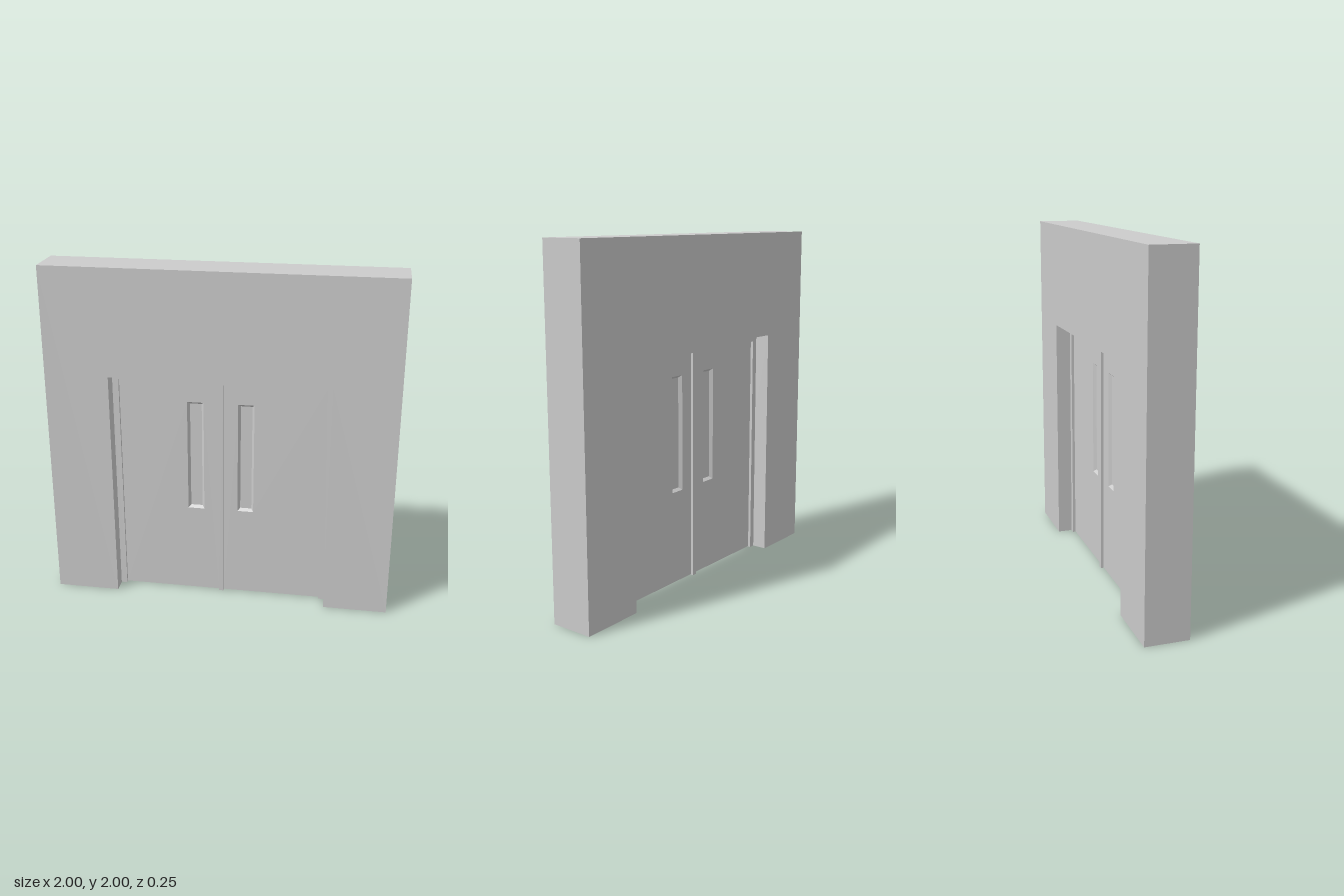
import * as THREE from 'three';

const material = new THREE.MeshStandardMaterial({ color: 0xcccccc, flatShading: true });

const WALL = 0.125, FRAME = 0.038, DOOR = 0.022, PANE = 0.004; // half depths
const OPEN_X = 0.63, OPEN_Y = 1.38;   // wall opening
const IN_X = 0.594, IN_Y = 1.338;     // inside of the frame
const POST = 0.014;                   // half width of the centre post

function mesh(name, geometry) {
  const m = new THREE.Mesh(geometry, material);
  m.name = name;
  return m;
}

function rect(x0, x1, y0, y1, Type = THREE.Shape) {
  return new Type([[x0, y0], [x1, y0], [x1, y1], [x0, y1]].map(([x, y]) => new THREE.Vector2(x, y)));
}

// Slab centred on z = 0
function slab(shape, half) {
  const g = new THREE.ExtrudeGeometry(shape, { depth: half * 2, bevelEnabled: false });
  return g.translate(0, 0, -half);
}

// Upside-down U outline standing on the floor
function arch(outerX, outerY, innerX, innerY) {
  const pts = [[-outerX, 0], [-innerX, 0], [-innerX, innerY], [innerX, innerY],
    [innerX, 0], [outerX, 0], [outerX, outerY], [-outerX, outerY]];
  return new THREE.Shape(pts.map(([x, y]) => new THREE.Vector2(x, y)));
}

// Four sloping faces from the door face in to the pane
function splay(x0, x1, y0, y1, inset) {
  const ring = (d, z) => [[x0 + d, y0 + d, z], [x1 - d, y0 + d, z], [x1 - d, y1 - d, z], [x0 + d, y1 - d, z]];
  const outer = ring(0, DOOR), inner = ring(inset, PANE), pos = [];
  for (let i = 0; i < 4; i++) {
    const j = (i + 1) % 4;
    pos.push(...outer[i], ...outer[j], ...inner[j], ...outer[i], ...inner[j], ...inner[i]);
  }
  const g = new THREE.BufferGeometry();
  g.setAttribute('position', new THREE.Float32BufferAttribute(pos, 3));
  g.computeVertexNormals();
  return g;
}

// Door leaf with a narrow glazed slot
function doorLeaf(name, x0, x1, wx0, wx1) {
  const wy0 = 0.547, wy1 = 1.22;
  const leaf = new THREE.Group();
  leaf.name = name;
  const shape = rect(x0, x1, 0.003, IN_Y);
  shape.holes.push(rect(wx0, wx1, wy0, wy1, THREE.Path));
  leaf.add(mesh('doorPanel', slab(shape, DOOR)));
  leaf.add(mesh('windowPane', slab(rect(wx0, wx1, wy0, wy1), PANE)));
  leaf.add(mesh('windowRevealFront', splay(wx0, wx1, wy0, wy1, 0.014)));
  const back = mesh('windowRevealBack', splay(-wx1, -wx0, wy0, wy1, 0.014));
  back.rotation.y = Math.PI;
  leaf.add(back);
  return leaf;
}

export function createModel() {
  const model = new THREE.Group();
  model.name = 'doubleDoorWall';

  // Wall with its doorway
  model.add(mesh('wall', slab(arch(1, 2, OPEN_X, OPEN_Y), WALL)));

  // Frame and centre post
  model.add(mesh('doorFrame', slab(arch(OPEN_X, OPEN_Y, IN_X, IN_Y), FRAME)));
  model.add(mesh('centrePost', slab(rect(-POST, POST, 0, IN_Y), FRAME)));

  // Two leaves
  model.add(doorLeaf('rightDoor', -IN_X, -POST, -0.2, -0.104));
  model.add(doorLeaf('leftDoor', POST, IN_X, 0.095, 0.189));

  return model;
}
